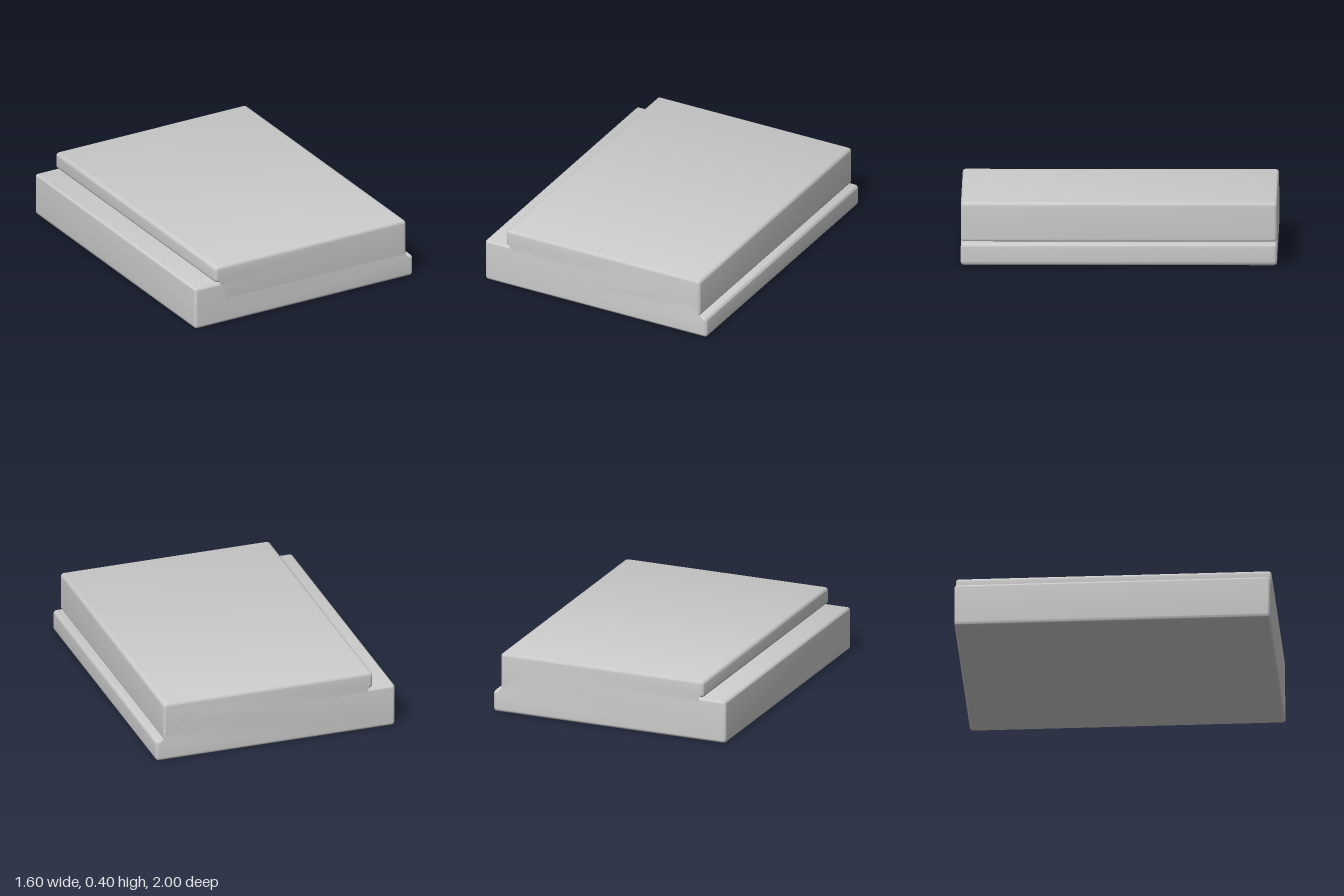
import * as THREE from 'three';
import { toCreasedNormals } from 'three/addons/utils/BufferGeometryUtils.js';

// Closed outline whose corners [x, y, radius] are rounded
function roundedOutline(corners) {
  const shape = new THREE.Shape();
  const n = corners.length;
  corners.forEach(([x, y, r], i) => {
    const p = new THREE.Vector2(x, y);
    const toward = (c) => new THREE.Vector2(c[0], c[1]).sub(p).normalize().multiplyScalar(r).add(p);
    const a = toward(corners[(i + n - 1) % n]);
    const b = toward(corners[(i + 1) % n]);
    if (i === 0) shape.moveTo(a.x, a.y);
    else shape.lineTo(a.x, a.y);
    if (r > 0) shape.quadraticCurveTo(x, y, b.x, b.y);
  });
  shape.closePath();
  return shape;
}

export function createModel() {
  const group = new THREE.Group();
  const material = new THREE.MeshStandardMaterial({ color: 0xcccccc });
  const bevel = 0.02;
  const depth = 2 - 2 * bevel;
  const r = 0.026;

  // S-shaped fold: three thick layers separated by two hairline slits
  const outline = roundedOutline([
    [-0.8, 0, r], [0.8, 0, r], [0.8, 0.142, r],
    [-0.53, 0.142, 0], [-0.53, 0.145, 0], // lower slit
    [0.75, 0.145, 0.015], [0.75, 0.395, r],
    [-0.65, 0.395, r], [-0.65, 0.285, r],
    [0.58, 0.285, 0], [0.58, 0.282, 0], // upper slit
    [-0.8, 0.282, 0.02],
  ]);

  // Rounded front and back edges also widen the slits where they surface
  const geometry = new THREE.ExtrudeGeometry(outline, {
    depth,
    curveSegments: 6,
    bevelEnabled: true,
    bevelThickness: bevel,
    bevelSize: bevel,
    bevelOffset: -bevel,
    bevelSegments: 5,
  });
  geometry.translate(0, 0, -depth / 2);

  const cloth = new THREE.Mesh(toCreasedNormals(geometry, 0.7), material);
  cloth.name = 'foldedCloth';
  group.add(cloth);
  return group;
}
